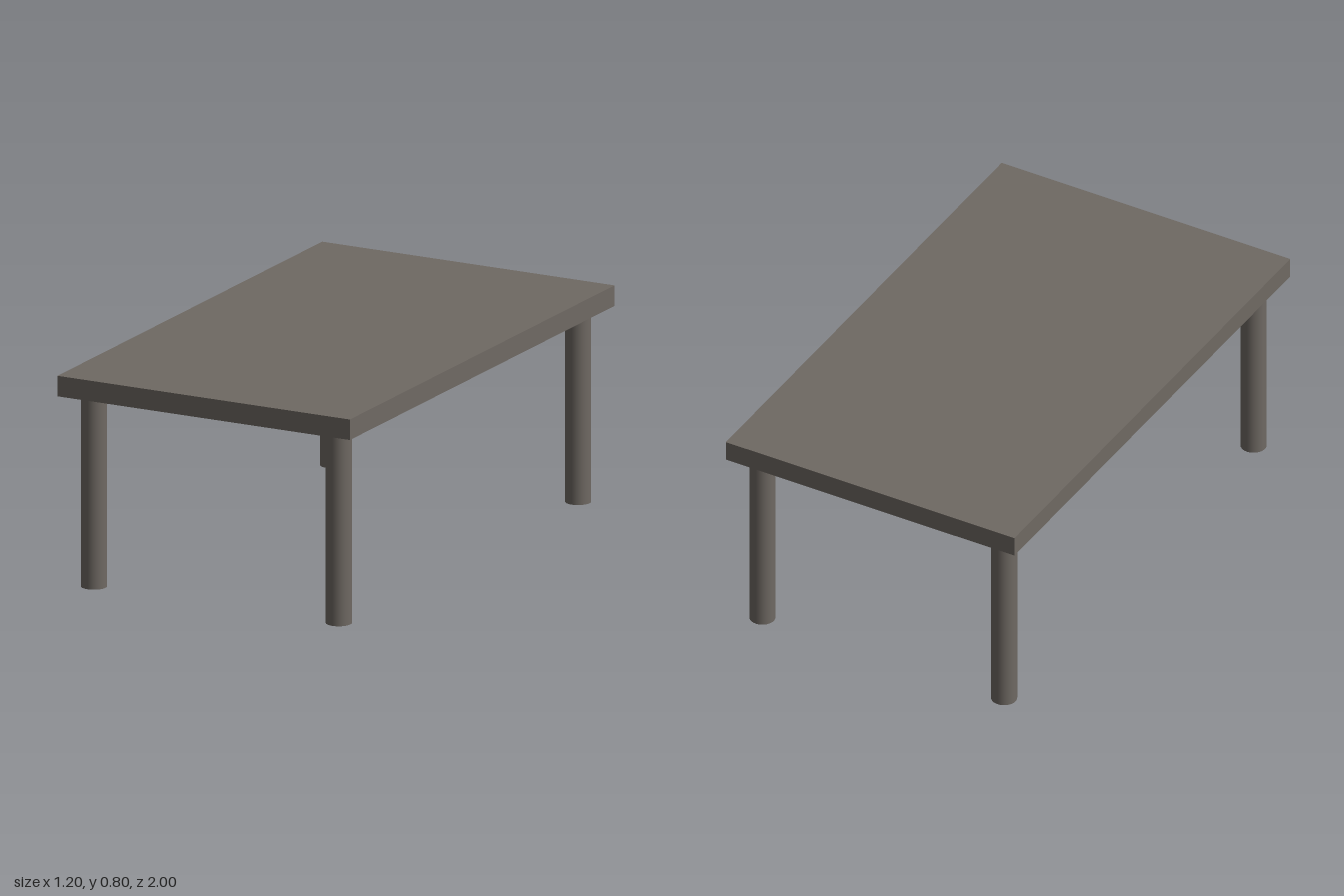
import * as THREE from 'three';

export function createModel() {
  const model = new THREE.Group();
  model.name = 'table';
  const material = new THREE.MeshStandardMaterial({ color: 0x6f6963 });

  const height = 0.8;
  const thickness = 0.077;
  const legHeight = height - thickness;

  // Flat slab top
  const top = new THREE.Mesh(new THREE.BoxGeometry(1.2, thickness, 2), material);
  top.name = 'tableTop';
  top.position.y = height - thickness / 2;
  model.add(top);

  // Four round legs, one near each corner
  const legGeometry = new THREE.CylinderGeometry(0.0475, 0.0475, legHeight, 32);
  for (const [zName, z] of [['front', 1], ['back', -1]]) {
    for (const [xName, x] of [['Left', 1], ['Right', -1]]) {
      const leg = new THREE.Mesh(legGeometry, material);
      leg.name = `${zName}${xName}Leg`;
      leg.position.set(x * 0.5025, legHeight / 2, z * 0.904);
      model.add(leg);
    }
  }

  return model;
}
